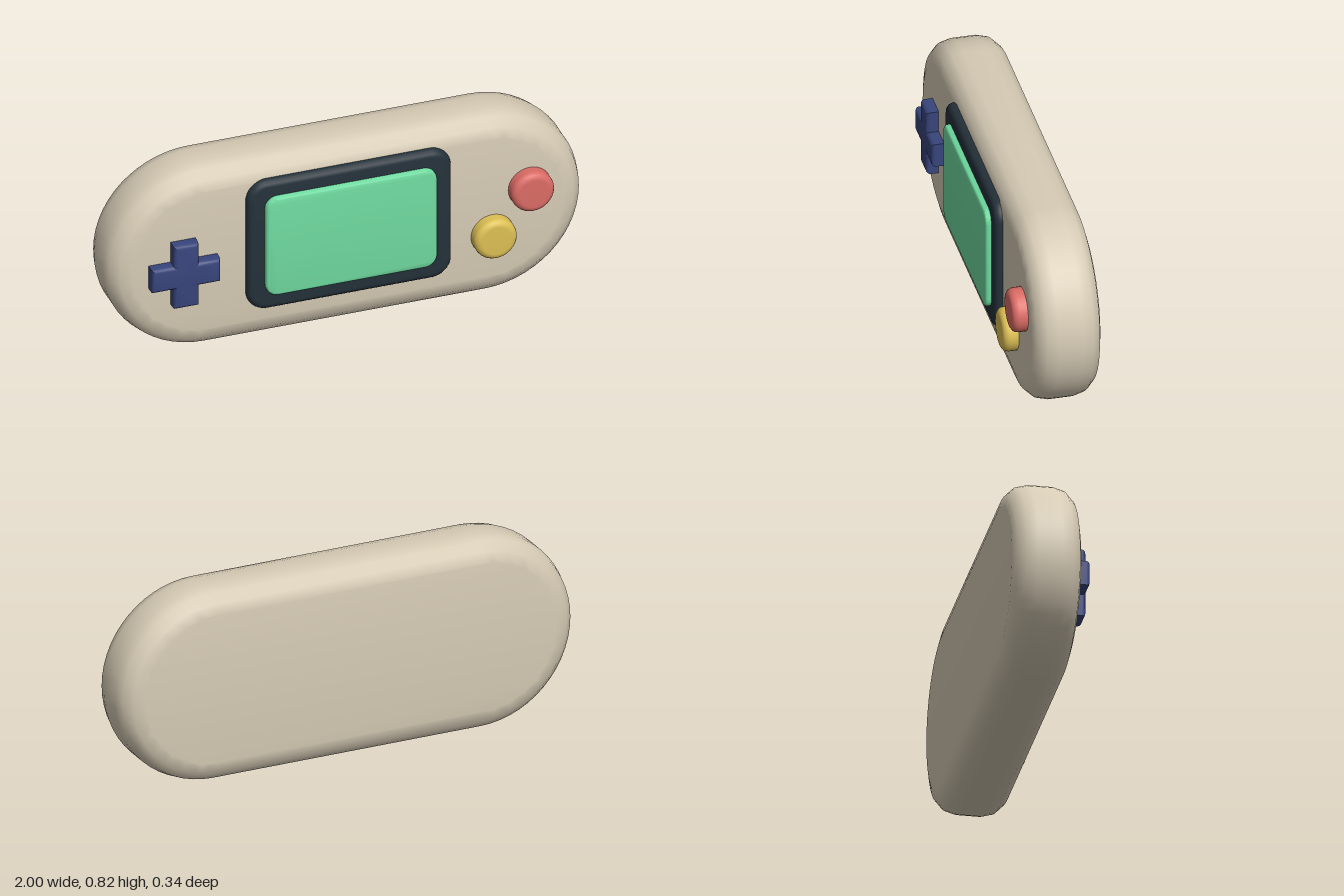
import * as THREE from 'three';
import { toCreasedNormals } from 'three/addons/utils/BufferGeometryUtils.js';

const flat = (name, color) => {
  const m = new THREE.MeshStandardMaterial({ color });
  m.name = name;
  return m;
};

// Rounded rectangle centred on the origin
function roundedRect(w, h, r) {
  const x = w / 2 - r, y = h / 2 - r, s = new THREE.Shape();
  s.absarc(x, y, r, 0, Math.PI / 2);
  s.absarc(-x, y, r, Math.PI / 2, Math.PI);
  s.absarc(-x, -y, r, Math.PI, Math.PI * 1.5);
  s.absarc(x, -y, r, Math.PI * 1.5, Math.PI * 2);
  s.closePath();
  return s;
}

// Bevelled slab filling z0..z1; the shape is already inset by the bevel
function slab(shape, z0, z1, bevel, curveSegments, crease) {
  const g = new THREE.ExtrudeGeometry(shape, {
    depth: z1 - z0 - 2 * bevel, bevelThickness: bevel, bevelSize: bevel,
    bevelSegments: 3, curveSegments,
  });
  g.translate(0, 0, z0 + bevel);
  return toCreasedNormals(g, crease);
}

export function createModel() {
  const group = new THREE.Group();
  const add = (name, geometry, material, x, y) => {
    const mesh = new THREE.Mesh(geometry, material);
    mesh.name = name;
    mesh.position.set(x, y, 0);
    group.add(mesh);
  };

  // Stadium-shaped body with soft edges
  const b = 0.09, R = 0.411 - b, cx = 0.589;
  const outline = new THREE.Shape();
  outline.absarc(cx, 0, R, -Math.PI / 2, Math.PI / 2);
  outline.absarc(-cx, 0, R, Math.PI / 2, Math.PI * 1.5);
  outline.closePath();
  add('body', slab(outline, -0.17, 0.11, b, 14, 0.8), flat('beige', 0xd6cbb5), 0, 0.411);

  // Screen frame and screen
  const f = 0.025, s = 0.012;
  add('screenFrame', slab(roundedRect(0.86 - 2 * f, 0.594 - 2 * f, 0.06), 0.07, 0.14, f, 6, 0.8),
    flat('charcoal', 0x24313a), 0, 0.445);
  add('screen', slab(roundedRect(0.72 - 2 * s, 0.454 - 2 * s, 0.04), 0.12, 0.163, s, 6, 0.8),
    flat('screen green', 0x6fdaa0), 0, 0.447);

  // Direction pad: one bevelled cross
  const p = 0.015, a = 0.052 - p, l = 0.144 - p;
  const cross = new THREE.Shape([
    [a, a], [a, l], [-a, l], [-a, a], [-l, a], [-l, -a],
    [-a, -a], [-a, -l], [a, -l], [a, -a], [l, -a], [l, a],
  ].map(([x, y]) => new THREE.Vector2(x, y)));
  add('directionPad', slab(cross, 0.09, 0.16, p, 1, 0.7), flat('navy', 0x38457c), -0.694, 0.384);

  // Round buttons with softened rims
  const r = 0.09, top = 0.17, e = 0.028;
  const profile = [new THREE.Vector2(r, 0.09)];
  for (let i = 0; i <= 4; i++) {
    const t = (i / 4) * Math.PI / 2;
    profile.push(new THREE.Vector2(r - e + e * Math.cos(t), top - e + e * Math.sin(t)));
  }
  profile.push(new THREE.Vector2(0, top));
  const button = new THREE.LatheGeometry(profile, 32).rotateX(Math.PI / 2);
  add('lowerButton', button, flat('yellow', 0xdcbf54), 0.608, 0.289);
  add('upperButton', button, flat('red', 0xdb6b65), 0.765, 0.477);

  return group;
}
